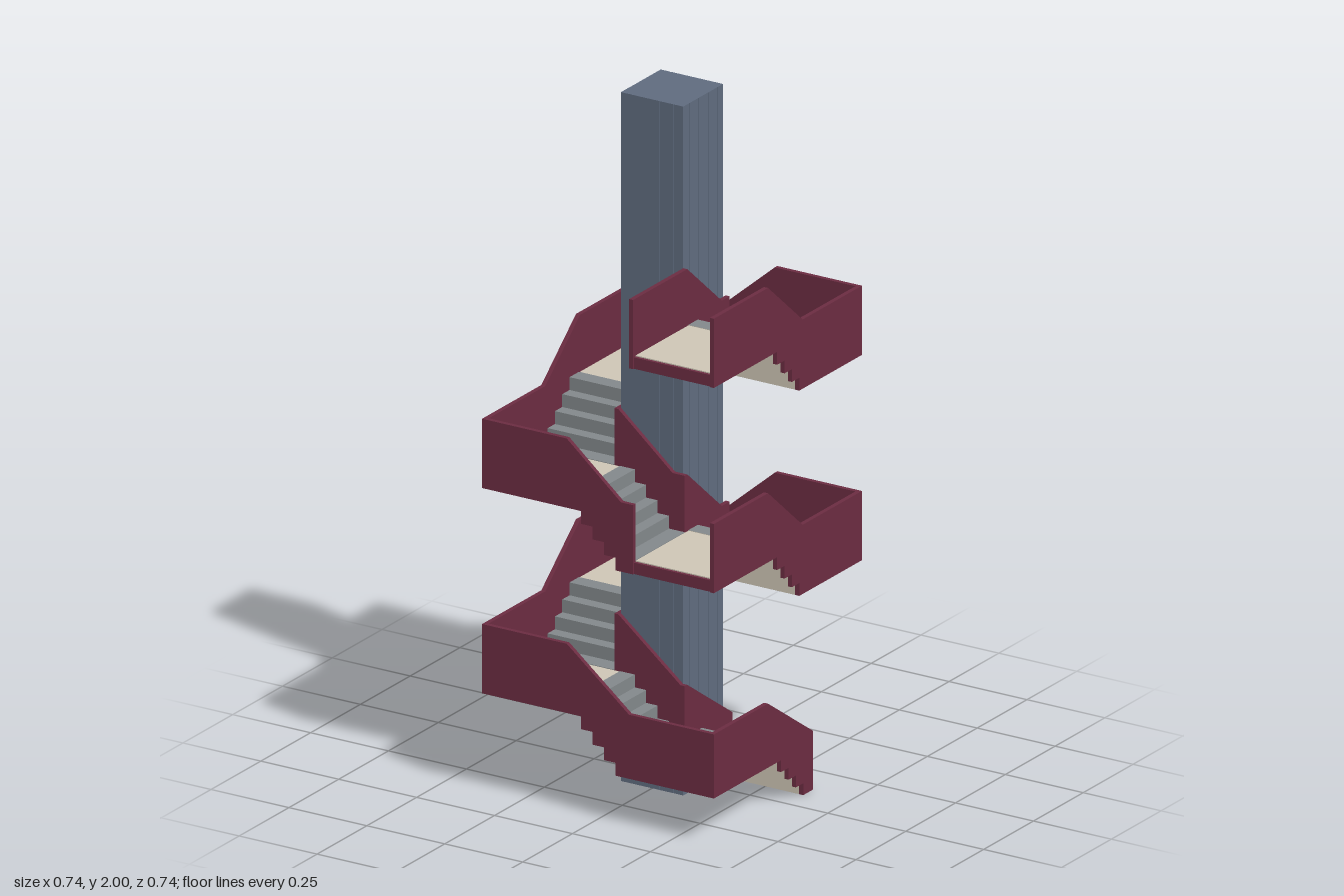
import * as THREE from 'three';

const paint = (name, color) => {
  const m = new THREE.MeshStandardMaterial({ color });
  m.name = name;
  return m;
};

export function createModel() {
  const model = new THREE.Group();
  model.name = 'spiralStair';
  const maroon = paint('maroon', 0x6b2c41);
  const beige = paint('beige', 0xcdc5b5);
  const grey = paint('stepGrey', 0x82878a);
  const slate = paint('slate', 0x5f6b7e);

  const OUT = 0.372, IN = 0.1, T = 0.013; // outer face, column face, rail thickness
  const RISE = 0.149, SLAB = 0.036, RAIL = 0.201;

  // Box given by its limits
  const block = (parent, name, mat, x0, x1, y0, y1, z0, z1) => {
    const g = new THREE.BoxGeometry(x1 - x0, y1 - y0, z1 - z0);
    g.translate((x0 + x1) / 2, (y0 + y1) / 2, (z0 + z1) / 2);
    const mesh = new THREE.Mesh(g, mat);
    mesh.name = name;
    parent.add(mesh);
  };

  // Upright plate drawn in (z, y), with its outer face at x
  const plate = (parent, name, pts, x) => {
    const shape = new THREE.Shape(pts.map(([z, y]) => new THREE.Vector2(z, y)));
    const g = new THREE.ExtrudeGeometry(shape, { depth: T, bevelEnabled: false });
    g.rotateY(-Math.PI / 2).translate(x, 0, 0);
    const mesh = new THREE.Mesh(g, maroon);
    mesh.name = name;
    parent.add(mesh);
  };

  // Central column with shallow vertical panels
  block(model, 'column', slate, -0.099, 0.099, 0, 2, -0.099, 0.099);
  for (let side = 0; side < 4; side++) {
    const panels = new THREE.Group();
    panels.name = 'columnPanels';
    panels.rotation.y = side * Math.PI / 2;
    for (const [a, b] of [[-0.1, -0.071], [-0.069, -0.026], [-0.024, 0.024], [0.026, 0.069], [0.071, 0.1]])
      block(panels, 'columnPanel', slate, a, b, 0, 2, 0.098, 0.1);
    model.add(panels);
  }

  // Nine flights, each a quarter turn on, climbing along +z with the outside at +x
  for (let k = 0; k < 9; k++) {
    const first = k === 0, openFront = k % 4 === 0 && !first;
    const turn = new THREE.Group();
    turn.name = 'flightAndLanding';
    turn.rotation.y = -k * Math.PI / 2;
    model.add(turn);

    const floor = 0.138 + k * RISE; // underside of the landing above this flight
    const base = first ? 0 : floor - RISE;
    const rise = (floor - base) / 4;
    const shift = first ? -0.02 : 0;
    const start = first ? -0.127 : -0.113;
    const top = floor + (first ? 0.186 : RAIL);
    const lowTop = first ? 0.17 : base + (k === 1 ? 0.186 : RAIL);
    const backEdge = i => (i === 4 ? 0.095 : -0.057 + 0.037 * i + shift);

    // Steps: grey tread and riser, beige soffit
    for (let i = 0; i < 5; i++) {
      const z0 = i === 0 ? start : -0.0995 + 0.0367 * i + shift;
      const y = base + i * rise;
      block(turn, 'step', [beige, beige, grey, beige, beige, first && i === 0 ? maroon : grey],
        IN + T, OUT - T, y, y + SLAB + 0.0015, z0, backEdge(i));
    }

    // Stepped lower edge shared by the inner and outer rails
    const lower = [[start, base]];
    for (let i = 0; i < 4; i++)
      lower.push([backEdge(i), base + i * rise], [backEdge(i), base + (i + 1) * rise]);
    const slope = first ? [[start, lowTop]]
      : [[k === 1 ? -0.1 : -0.074, lowTop], [start, lowTop]];
    plate(turn, 'outerRail', [...lower, [OUT, floor], [OUT, top], [0.1, top], ...slope], OUT);
    plate(turn, 'innerRail', [...lower, [IN, floor], [IN, top], ...slope], IN + T);

    // Landing, with a rail or an open edge on its far side
    block(turn, 'landing', beige, IN, OUT - T, floor, floor + SLAB, 0.095, OUT - T);
    if (openFront)
      block(turn, 'landingEdge', maroon, IN, OUT - T, floor, floor + SLAB - 0.003, OUT - T, 0.368);
    else
      block(turn, 'landingRail', maroon, IN, OUT - T, floor, top, OUT - T, OUT);

    // Closing wall at the end of the topmost landing
    if (k === 8) block(turn, 'endWall', maroon, IN, IN + T, floor, top, IN, OUT);
  }
  return model;
}
